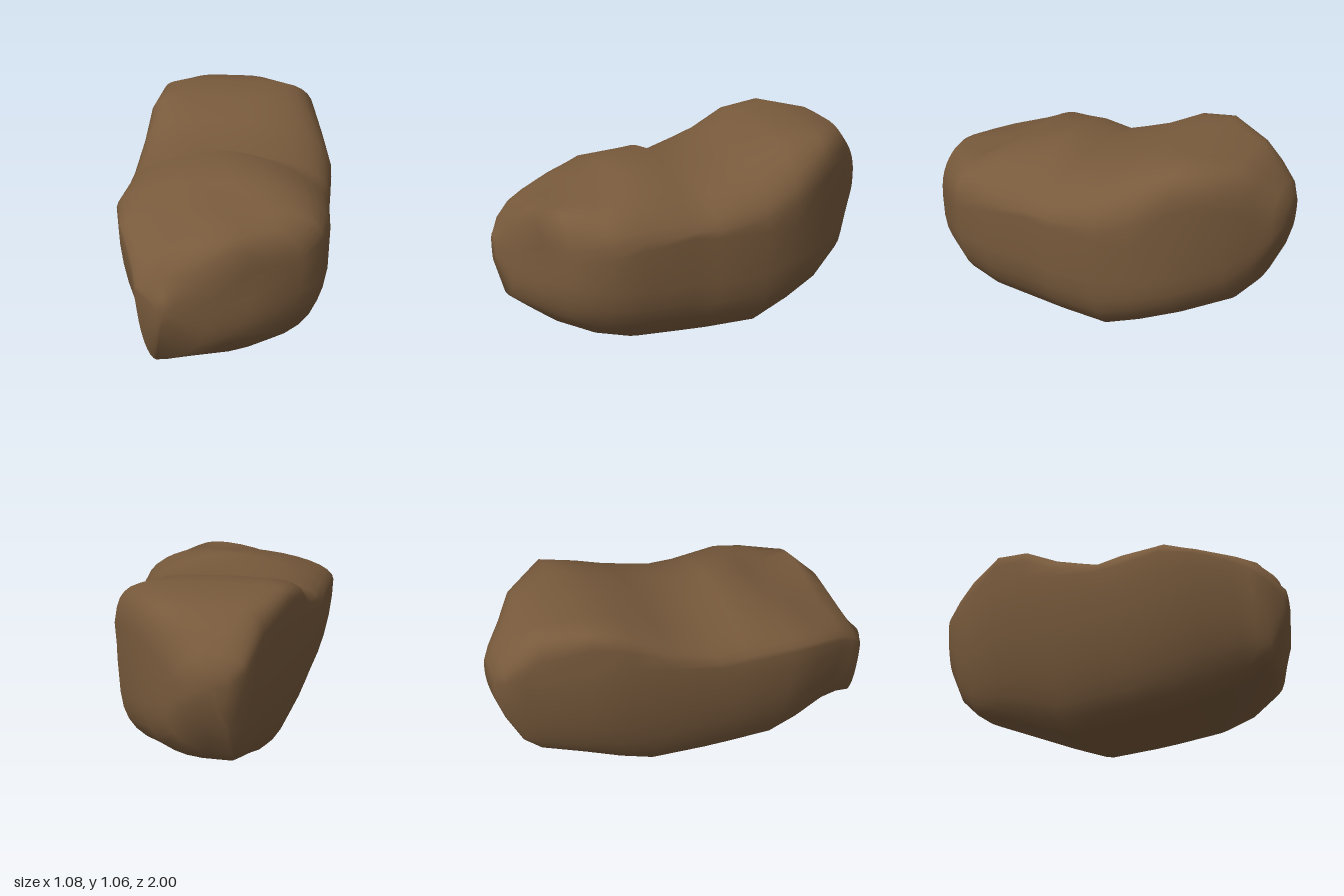
import * as THREE from 'three';

// Cross-sections from back to front:
// z, left x, right x, bottom y, top y, left-widest y, right-widest y, crest x, top-left and top-right squareness
const SECTIONS = [
  [-1.0, -0.17, 0.01, 0.62, 0.81, 0.74, 0.71, -0.07, 2.2, 2.0],
  [-0.96, -0.24, 0.08, 0.50, 0.87, 0.78, 0.70, -0.08, 2.4, 2.2],
  [-0.88, -0.28, 0.16, 0.33, 0.96, 0.81, 0.68, -0.09, 2.8, 3.0],
  [-0.79, -0.31, 0.27, 0.24, 1.03, 0.82, 0.66, -0.08, 3.8, 4.5],
  [-0.57, -0.41, 0.45, 0.16, 1.07, 0.84, 0.64, -0.06, 7.0, 5.0],
  [-0.38, -0.46, 0.51, 0.08, 1.04, 0.84, 0.64, -0.06, 5.0, 2.9],
  [-0.20, -0.48, 0.54, 0.01, 0.97, 0.80, 0.66, -0.04, 2.8, 2.3],
  [0.07, -0.51, 0.52, 0.01, 0.88, 0.74, 0.66, 0.0, 2.3, 2.1],
  [0.20, -0.52, 0.51, 0.01, 0.96, 0.74, 0.68, 0.0, 1.8, 1.5],
  [0.45, -0.55, 0.51, 0.02, 0.91, 0.75, 0.66, 0.02, 2.0, 2.1],
  [0.62, -0.52, 0.48, 0.06, 0.83, 0.72, 0.62, 0.08, 2.0, 3.0],
  [0.79, -0.46, 0.37, 0.12, 0.82, 0.66, 0.60, 0.10, 1.8, 2.6],
  [0.88, -0.43, 0.15, 0.16, 0.77, 0.61, 0.58, 0.0, 1.8, 2.2],
  [0.94, -0.41, -0.06, 0.18, 0.62, 0.56, 0.48, -0.24, 2.0, 2.0],
  [1.0, -0.31, -0.22, 0.39, 0.55, 0.48, 0.46, -0.27, 2.0, 2.0],
];

// Dents (negative) and bulges (positive): x, y, z, radius, amount
const LUMPS = [
  [0.52, 0.50, -0.38, 0.20, -0.03],
  [0.10, 0.55, 0.88, 0.16, -0.03],
  [-0.10, 0.32, 0.95, 0.14, 0.02],
  [0.15, 0.82, 0.78, 0.13, 0.015],
  [0.10, 0.82, 0.61, 0.13, -0.03],
  [-0.20, 0.74, 0.76, 0.14, -0.035],
];

const STEPS = 36;

// Closed outline of one section, counter-clockwise seen from the front
function outline([z, xL, xR, yB, yT, yL, yR, xT, topLeft, topRight]) {
  const points = [];
  // Straight sloping left flank, full right flank that is undercut towards the front
  const keel = xL * 0.74 + xR * 0.26;
  const bottomLeft = 1.75;
  const bottomRight = 3.7 - (z > 0 ? 1.8 : 0.7) * z * z;
  for (let j = 0; j < STEPS; j++) {
    const a = (j / STEPS) * Math.PI * 2;
    const c = Math.cos(a), s = Math.sin(a);
    const right = c > 0, upper = s > 0;
    const squareness = upper ? (right ? topRight : topLeft) : (right ? bottomRight : bottomLeft);
    const u = Math.abs(c) ** (2 / squareness), v = Math.abs(s) ** (2 / squareness);
    const mid = upper ? xT : keel;
    const side = right ? xR : xL;
    const sideY = right ? yR : yL;
    const endY = upper ? yT : yB;
    const p = new THREE.Vector3(mid + (side - mid) * u, sideY + (endY - sideY) * v, z);
    // Push the surface in or out around each lump
    const out = new THREE.Vector3(p.x, p.y - 0.5, p.z * 0.4).normalize();
    let push = 0;
    for (const [lx, ly, lz, r, amount] of LUMPS) {
      const d2 = (p.x - lx) ** 2 + (p.y - ly) ** 2 + (p.z - lz) ** 2;
      push += amount * Math.exp(-d2 / (r * r));
    }
    points.push(p.addScaledVector(out, push));
  }
  return points;
}

// Skin the sections into one smooth closed surface
function loft(sections) {
  const rings = sections.map(outline);
  const points = rings.flat();
  const index = [];
  for (let i = 0; i < rings.length - 1; i++) {
    for (let j = 0; j < STEPS; j++) {
      const k = (j + 1) % STEPS;
      const a = i * STEPS + j, b = i * STEPS + k;
      index.push(a, b, a + STEPS, b, b + STEPS, a + STEPS);
    }
  }
  // Cap both ends around a central point
  const last = (rings.length - 1) * STEPS;
  const center = (ring) => ring.reduce((m, p) => m.addScaledVector(p, 1 / STEPS), new THREE.Vector3());
  const back = points.push(center(rings[0])) - 1;
  const front = points.push(center(rings[rings.length - 1])) - 1;
  for (let j = 0; j < STEPS; j++) {
    const k = (j + 1) % STEPS;
    index.push(back, k, j, front, last + j, last + k);
  }
  const geometry = new THREE.BufferGeometry().setFromPoints(points);
  geometry.setIndex(index);
  geometry.computeVertexNormals();
  return geometry;
}

export function createModel() {
  const group = new THREE.Group();
  group.name = 'boulder';
  const brownStone = new THREE.MeshStandardMaterial({ color: 0x785a3c });
  brownStone.name = 'brown stone';
  const rock = new THREE.Mesh(loft(SECTIONS), brownStone);
  rock.name = 'rock';
  group.add(rock);
  return group;
}
